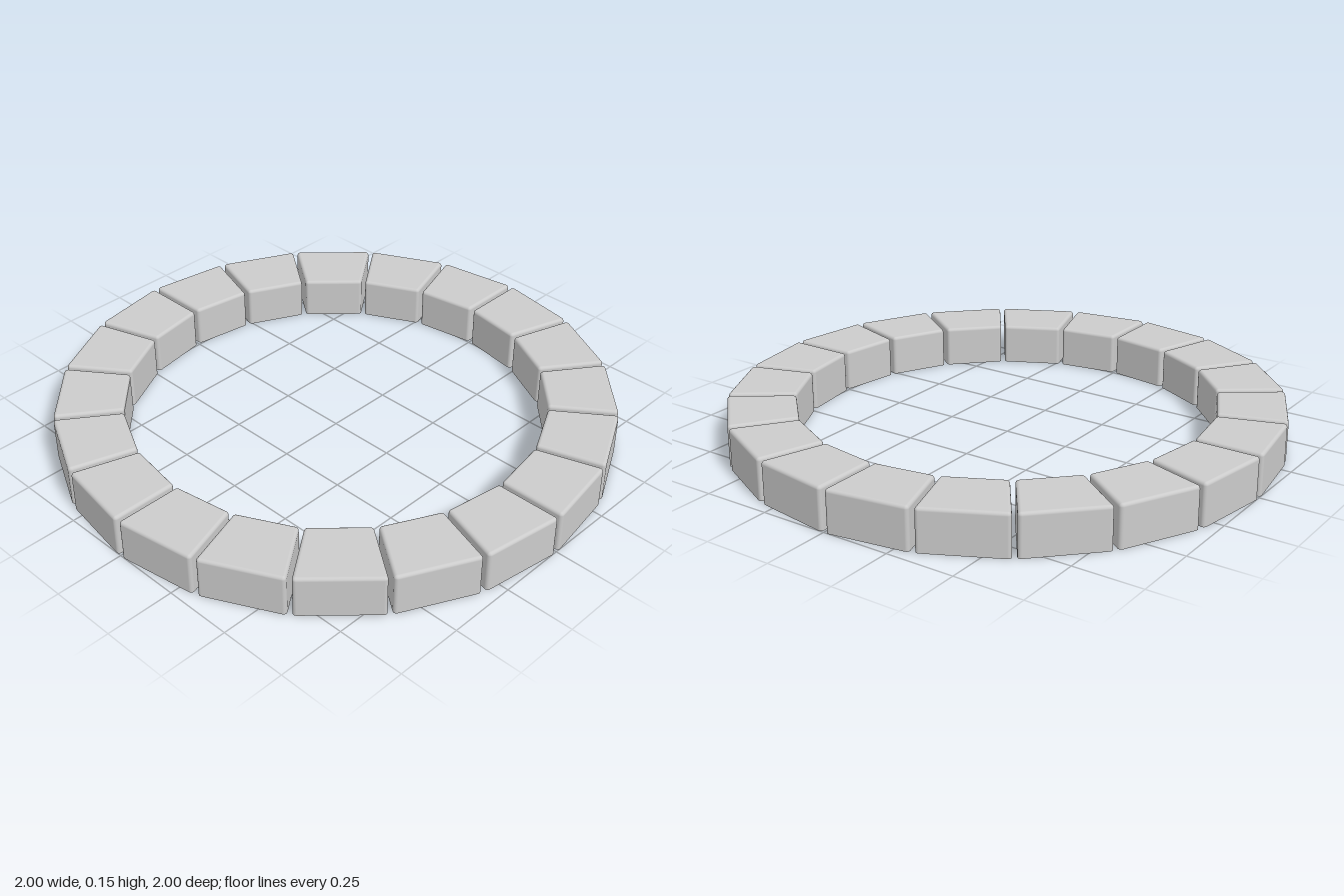
import * as THREE from 'three';

const COUNT = 20;            // blocks in the ring
const HALF = Math.PI / COUNT; // half the angle of one block
const OUTER = 0.991, INNER = 0.747; // distance of outer and inner faces from the centre
const HEIGHT = 0.152;
const GAP = 0.008;           // half the joint between blocks
const R = 0.012;             // edge rounding
const STEPS = 4;             // segments per rounded edge

// One wedge block on the +z axis: rounded top and upright edges, open underneath
function blockGeometry() {
  const halfWidth = d => d * Math.tan(HALF) - (GAP + R) / Math.cos(HALF);
  const zo = OUTER - R, zi = INNER + R;
  const xo = halfWidth(zo), xi = halfWidth(zi);
  const side = Math.PI / 2 + HALF;
  // Corner centre and the range of its outward direction
  const corners = [
    [xo, zo, 0, side],
    [xi, zi, side, Math.PI],
    [-xi, zi, Math.PI, 2 * Math.PI - side],
    [-xo, zo, 2 * Math.PI - side, 2 * Math.PI],
  ];
  const positions = [], normals = [], index = [];

  // Rings: the foot, then the arc of the top rounding
  const rings = [[0, 0]];
  for (let i = 0; i <= STEPS; i++) rings.push([HEIGHT - R, (i / STEPS) * Math.PI / 2]);
  for (const [y, tilt] of rings) {
    for (const [x, z, from, to] of corners) {
      for (let i = 0; i <= STEPS; i++) {
        const a = from + (to - from) * i / STEPS;
        const n = [Math.sin(a) * Math.cos(tilt), Math.sin(tilt), Math.cos(a) * Math.cos(tilt)];
        positions.push(x + R * n[0], y + R * n[1], z + R * n[2]);
        normals.push(...n);
      }
    }
  }
  const across = corners.length * (STEPS + 1);
  for (let k = 0; k < rings.length - 1; k++) {
    for (let j = 0; j < across; j++) {
      const a = k * across + j, b = k * across + (j + 1) % across;
      index.push(a, b, b + across, a, b + across, a + across);
    }
  }
  // Flat top between the four corner centres
  const top = (rings.length - 1) * across;
  const [p, q, r, s] = [0, 1, 2, 3].map(i => top + i * (STEPS + 1));
  index.push(p, q, r, p, r, s);

  const geometry = new THREE.BufferGeometry();
  geometry.setAttribute('position', new THREE.Float32BufferAttribute(positions, 3));
  geometry.setAttribute('normal', new THREE.Float32BufferAttribute(normals, 3));
  geometry.setIndex(index);
  return geometry;
}

export function createModel() {
  const group = new THREE.Group();
  group.name = 'stoneRing';
  const material = new THREE.MeshStandardMaterial({ color: 0xcccccc, side: THREE.DoubleSide });
  const geometry = blockGeometry();
  for (let i = 0; i < COUNT; i++) {
    const block = new THREE.Mesh(geometry, material);
    block.name = 'block' + (i + 1);
    block.rotation.y = (2 * i + 1) * HALF;
    group.add(block);
  }
  return group;
}
